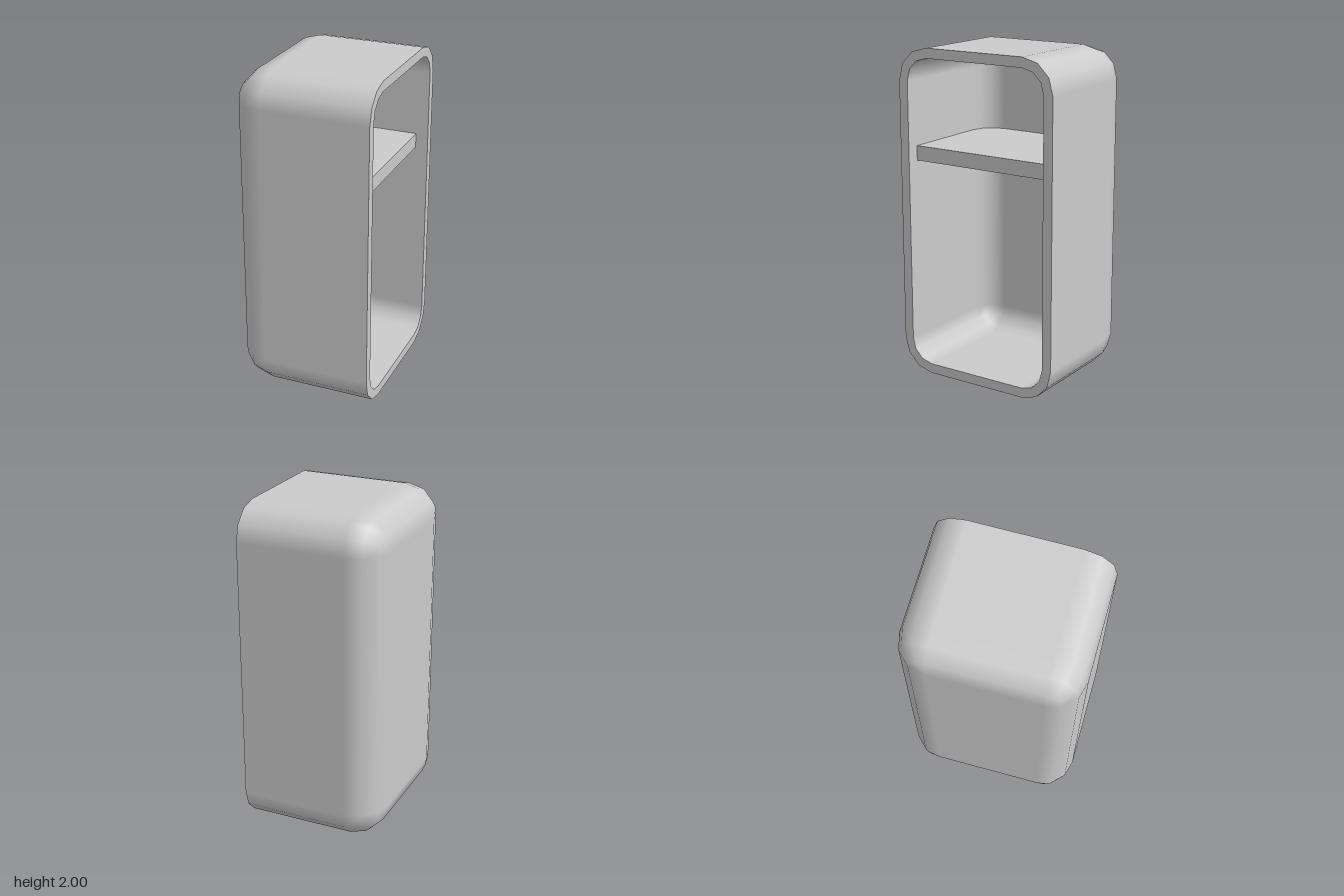
import * as THREE from 'three';

const HALF_X = 0.427, CORNER_Z = 0.33, CORNER_Y = 0.8; // corner arc centres
const OUTER_R = 0.2, WALL = 0.06, INNER_R = OUTER_R - WALL, SEGMENTS = 3;
const SHELF_TOP = 1.4, SHELF_THICKNESS = 0.09, SHELF_FRONT = 0.35;

// Stations [x, corner radius, normal along x, normal away from the axis] for a rounded back edge
function backEdge(radius) {
  const list = [];
  for (let i = 0; i <= SEGMENTS; i++) {
    const a = (i / SEGMENTS) * Math.PI / 2;
    const c = Math.cos(a), s = Math.sin(a);
    list.push([-HALF_X + OUTER_R - radius * c, radius * s, -c, s]);
  }
  return list;
}

// Rounded-rectangle loops joined station by station, with flat caps at both ends
function loftShell(stations) {
  const positions = [], normals = [], index = [];
  const ring = 4 * (SEGMENTS + 1);
  for (const [x, r, nx, nr] of stations) {
    for (let k = 0; k < 4; k++) {
      const cz = k === 0 || k === 3 ? CORNER_Z : -CORNER_Z;
      const cy = 1 + (k < 2 ? CORNER_Y : -CORNER_Y);
      for (let j = 0; j <= SEGMENTS; j++) {
        const t = (k + j / SEGMENTS) * Math.PI / 2;
        positions.push(x, cy + r * Math.sin(t), cz + r * Math.cos(t));
        normals.push(nx, nr * Math.sin(t), nr * Math.cos(t));
      }
    }
  }
  for (let i = 0; i < stations.length - 1; i++) {
    for (let j = 0; j < ring; j++) {
      const a = i * ring + j, b = i * ring + (j + 1) % ring;
      index.push(a, a + ring, b + ring, a, b + ring, b);
    }
  }
  const q = ring / 4, e = (stations.length - 1) * ring;
  index.push(0, q, 2 * q, 0, 2 * q, 3 * q);
  index.push(e, e + 2 * q, e + q, e, e + 3 * q, e + 2 * q);
  const geometry = new THREE.BufferGeometry();
  geometry.setAttribute('position', new THREE.Float32BufferAttribute(positions, 3));
  geometry.setAttribute('normal', new THREE.Float32BufferAttribute(normals, 3));
  geometry.setIndex(index);
  return geometry;
}

export function createModel() {
  const model = new THREE.Group();
  model.name = 'openCabinet';
  const material = new THREE.MeshStandardMaterial({ color: 0xcccccc });

  // Casing: outer skin, flat rim round the opening, then the inner skin back to the rear wall
  const inner = backEdge(INNER_R).reverse().map(([x, r, nx, nr]) => [x, r, -nx, -nr]);
  const casing = new THREE.Mesh(loftShell([
    ...backEdge(OUTER_R),
    [HALF_X, OUTER_R, 0, 1],
    [HALF_X, OUTER_R, 1, 0],
    [HALF_X, INNER_R, 1, 0],
    [HALF_X, INNER_R, 0, -1],
    ...inner,
  ]), material);
  casing.name = 'casing';
  model.add(casing);

  // Shelf: its plan follows the rounded back corners of the interior
  const back = -HALF_X + OUTER_R, halfZ = CORNER_Z + INNER_R;
  const plan = new THREE.Shape();
  plan.moveTo(SHELF_FRONT, -halfZ);
  plan.lineTo(SHELF_FRONT, halfZ);
  plan.lineTo(back, halfZ);
  plan.absarc(back, CORNER_Z, INNER_R, Math.PI / 2, Math.PI, false);
  plan.absarc(back, -CORNER_Z, INNER_R, Math.PI, Math.PI * 1.5, false);
  const shelfGeometry = new THREE.ExtrudeGeometry(plan, {
    depth: SHELF_THICKNESS, bevelEnabled: false, curveSegments: SEGMENTS,
  });
  shelfGeometry.rotateX(Math.PI / 2);
  const shelf = new THREE.Mesh(shelfGeometry, material);
  shelf.name = 'shelf';
  shelf.position.y = SHELF_TOP;
  model.add(shelf);

  return model;
}
